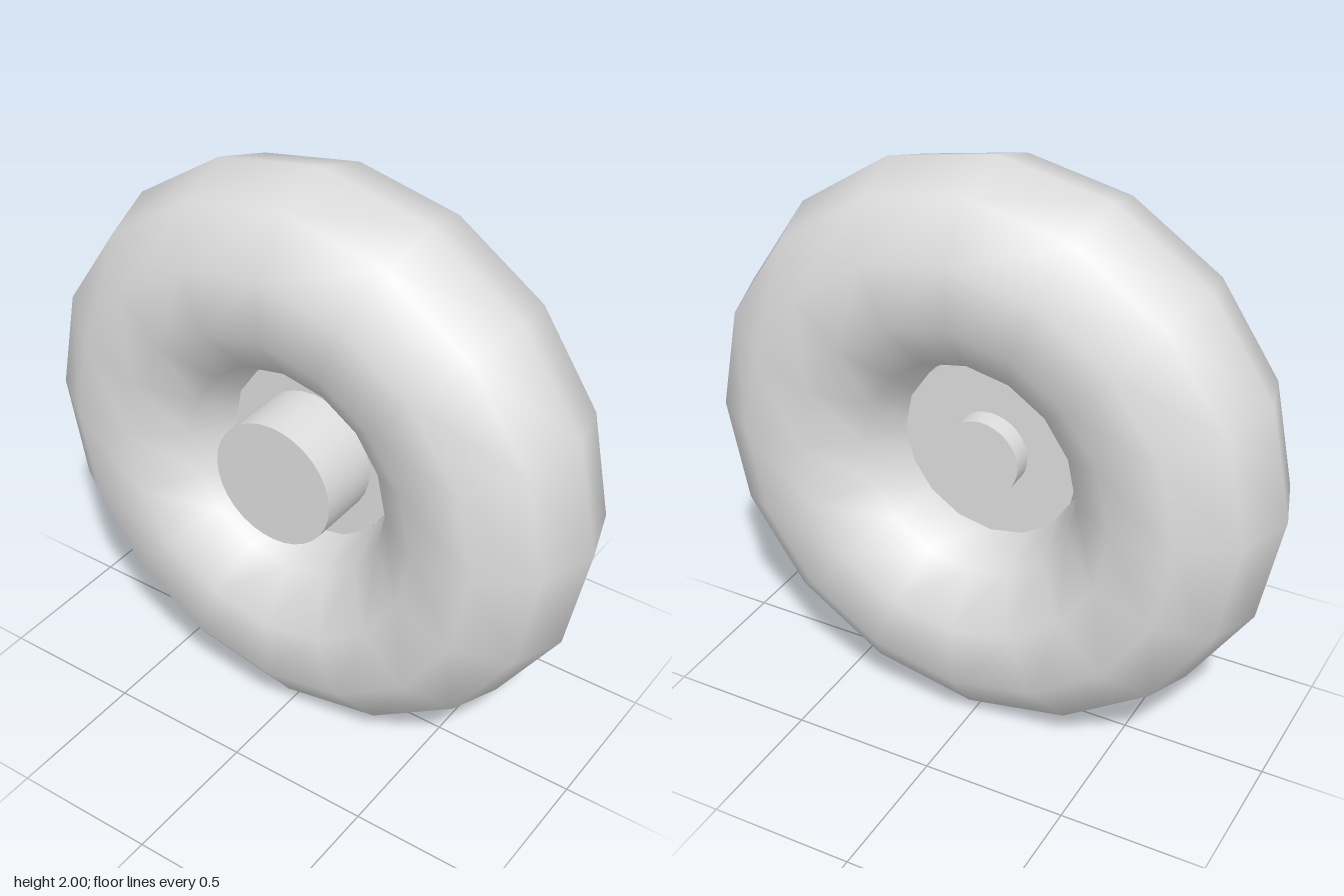
import * as THREE from 'three';

export function createModel() {
  const model = new THREE.Group();
  model.name = 'wheel';

  const paleGrey = new THREE.MeshStandardMaterial({ color: 0xdddddd });
  paleGrey.name = 'paleGrey';

  const add = (name, geometry) => {
    const mesh = new THREE.Mesh(geometry, paleGrey);
    mesh.name = name;
    mesh.position.y = 1;
    model.add(mesh);
  };

  // Cylinder along the x axis between two x positions
  const disc = (radius, x0, x1, sides) =>
    new THREE.CylinderGeometry(radius, radius, x1 - x0, sides)
      .rotateZ(-Math.PI / 2)
      .translate((x0 + x1) / 2, 0, 0);

  // Fat tyre: ten-sided section swept through sixteen steps, smooth shaded
  add('tyre', new THREE.TorusGeometry(0.658, 0.342, 10, 16).rotateY(Math.PI / 2));

  // Hub plate filling the hole
  add('hub', disc(0.316, -0.045, 0.045, 16));

  // Short outer cap and longer, thicker inner axle stub
  add('hubCap', disc(0.135, 0, 0.115, 32));
  add('axleStub', disc(0.22, -0.27, 0, 32));

  return model;
}
